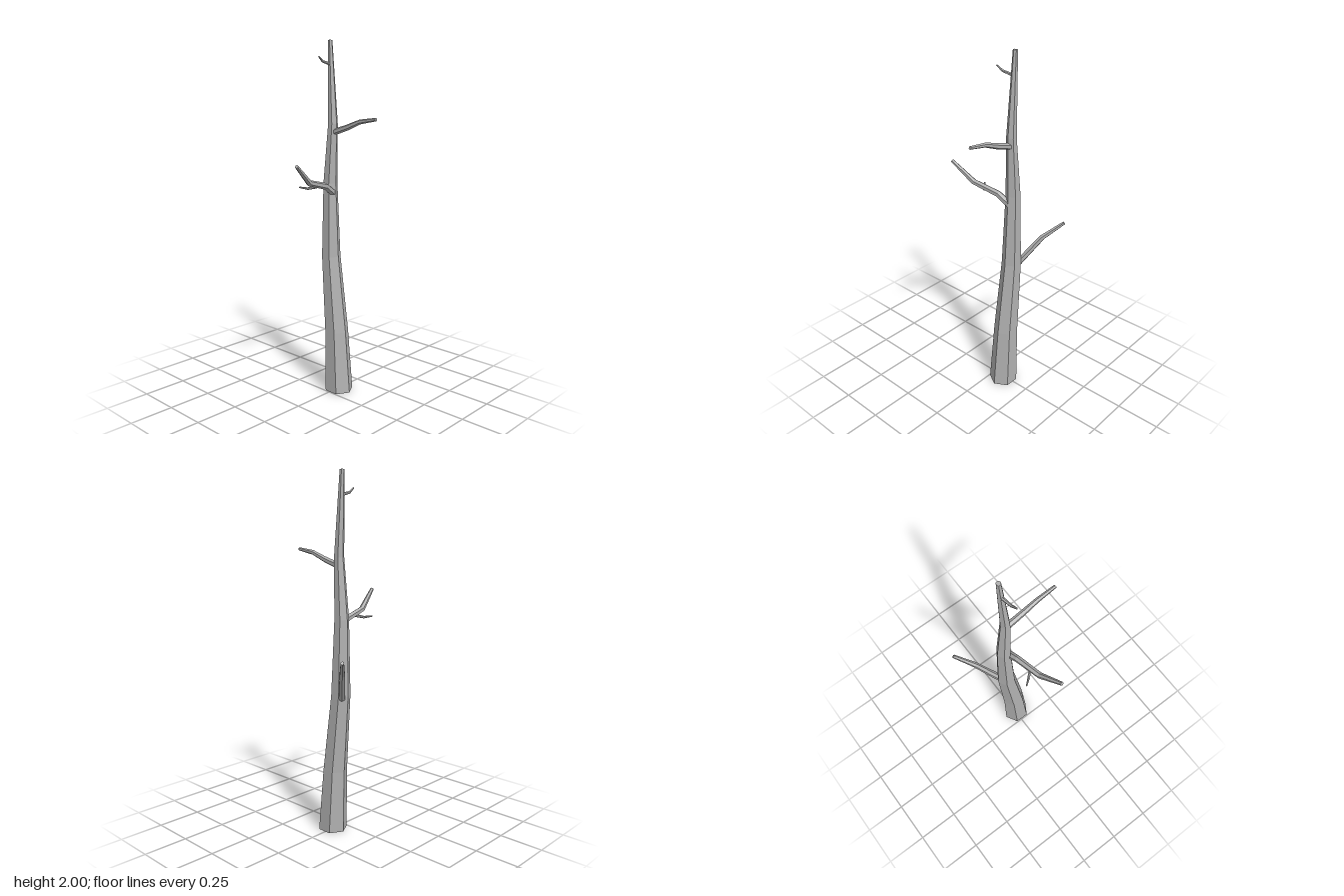
import * as THREE from 'three';

const SIDES = 6;
const bark = new THREE.MeshStandardMaterial({ color: 0xb0b0b0 });
bark.name = 'grey bark';

// Tapered six-sided limb; each ring is [x, y, z, radius].
// ref is the direction of one corner; level keeps the rings horizontal.
function limb(name, rings, ref, level = false) {
  const centres = rings.map(([x, y, z]) => new THREE.Vector3(x, y, z));
  const last = rings.length - 1;
  const positions = [];
  const index = [];
  rings.forEach(([, , , radius], i) => {
    const t = level
      ? new THREE.Vector3(0, 1, 0)
      : centres[Math.min(i + 1, last)].clone().sub(centres[Math.max(i - 1, 0)]).normalize();
    const u = ref.clone().addScaledVector(t, -ref.dot(t)).normalize();
    const v = t.clone().cross(u);
    for (let j = 0; j < SIDES; j++) {
      const a = (j / SIDES) * Math.PI * 2;
      const p = centres[i].clone()
        .addScaledVector(u, Math.cos(a) * radius)
        .addScaledVector(v, Math.sin(a) * radius);
      positions.push(p.x, p.y, p.z);
    }
  });
  for (let i = 0; i < last; i++) {
    for (let j = 0; j < SIDES; j++) {
      const a = i * SIDES + j;
      const b = i * SIDES + ((j + 1) % SIDES);
      index.push(a, b, b + SIDES, a, b + SIDES, a + SIDES);
    }
  }
  // End caps
  const top = last * SIDES;
  for (let j = 1; j < SIDES - 1; j++) {
    index.push(0, j + 1, j, top, top + j, top + j + 1);
  }
  const indexed = new THREE.BufferGeometry();
  indexed.setAttribute('position', new THREE.Float32BufferAttribute(positions, 3));
  indexed.setIndex(index);
  const geometry = indexed.toNonIndexed(); // separate faces give flat facets
  geometry.computeVertexNormals();
  const mesh = new THREE.Mesh(geometry, bark);
  mesh.name = name;
  return mesh;
}

export function createModel() {
  const tree = new THREE.Group();
  tree.name = 'bareTree';
  const up = new THREE.Vector3(0, 1, 0);
  const front = new THREE.Vector3(0, 0, 1);

  // Trunk, bowing backwards
  tree.add(limb('trunk', [
    [0.076, 0, 0.009, 0.082],
    [0.076, 0.36, -0.011, 0.069],
    [0.076, 0.8, -0.055, 0.055],
    [0.076, 1.22, -0.062, 0.041],
    [0.076, 1.55, -0.043, 0.028],
    [0.076, 2, -0.065, 0.013],
  ], front, true));

  // Main branches
  tree.add(limb('rightBranch', [
    [0.075, 1.165, -0.04, 0.021],
    [0.0, 1.212, -0.027, 0.019],
    [-0.155, 1.248, 0.002, 0.017],
    [-0.283, 1.35, 0.039, 0.01],
  ], up));
  tree.add(limb('leftBackBranch', [
    [0.1, 0.79, -0.085, 0.02],
    [0.195, 0.952, -0.18, 0.016],
    [0.28, 1.04, -0.262, 0.01],
  ], up));
  tree.add(limb('frontBranch', [
    [0.076, 1.505, -0.035, 0.018],
    [0.076, 1.535, 0.065, 0.016],
    [0.076, 1.568, 0.155, 0.013],
    [0.076, 1.584, 0.265, 0.009],
  ], up));

  // Small twigs
  tree.add(limb('branchTwig', [
    [-0.088, 1.22, -0.01, 0.009],
    [-0.12, 1.21, -0.045, 0.007],
    [-0.15, 1.217, -0.081, 0.004],
  ], up));
  tree.add(limb('topTwig', [
    [0.072, 1.872, -0.06, 0.009],
    [0.005, 1.885, -0.052, 0.007],
    [-0.03, 1.909, -0.047, 0.004],
  ], up));

  return tree;
}
